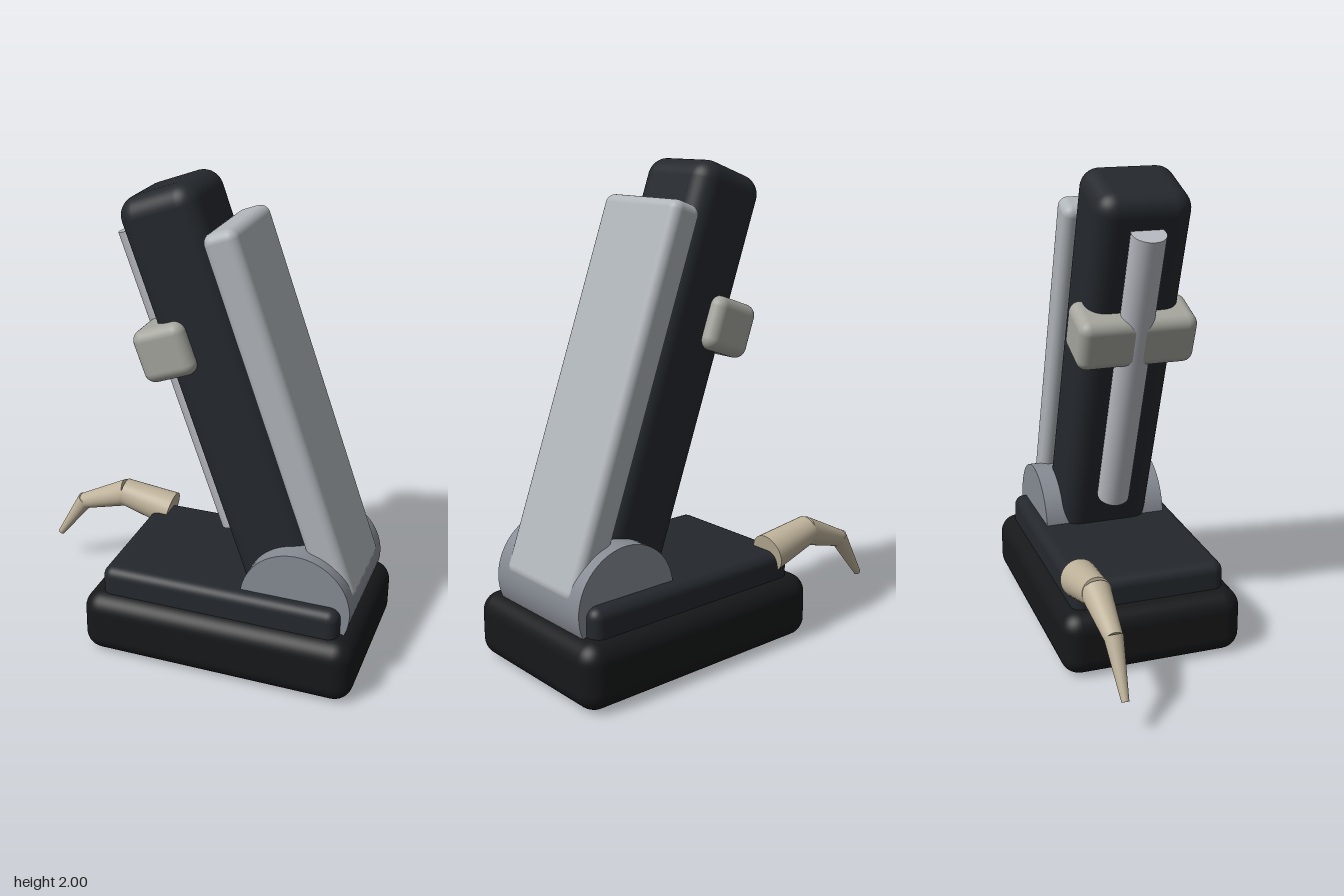
import * as THREE from 'three';
import { RoundedBoxGeometry } from 'three/addons/geometries/RoundedBoxGeometry.js';

const mat = (color) => new THREE.MeshStandardMaterial({ color });
const black = mat(0x17181a);
const charcoal = mat(0x24282d);
const steel = mat(0x868b93);
const silver = mat(0xb0b5ba);
const rodGrey = mat(0xb8bac2);
const clampGrey = mat(0xa5a59e);
const beige = mat(0xbdb199);

function add(parent, name, geometry, material) {
  const mesh = new THREE.Mesh(geometry, material);
  mesh.name = name;
  parent.add(mesh);
  return mesh;
}

// Rounded box given by its x and y ranges and its half depth
function block(parent, name, material, [x0, x1], [y0, y1], halfZ, radius) {
  const geometry = new RoundedBoxGeometry(x1 - x0, y1 - y0, halfZ * 2, 5, radius);
  geometry.translate((x0 + x1) / 2, (y0 + y1) / 2, 0);
  return add(parent, name, geometry, material);
}

// Tapered cylinder between two points in the xy plane
function taper(parent, name, material, [x0, y0], [x1, y1], r0, r1, z = 0) {
  const dir = new THREE.Vector3(x1 - x0, y1 - y0, 0);
  const mesh = add(parent, name, new THREE.CylinderGeometry(r1, r0, dir.length(), 32), material);
  mesh.position.set((x0 + x1) / 2, (y0 + y1) / 2, z);
  mesh.quaternion.setFromUnitVectors(new THREE.Vector3(0, 1, 0), dir.normalize());
  return mesh;
}

export function createModel() {
  const model = new THREE.Group();
  model.name = 'leaningArmOnBase';

  // Stepped base
  block(model, 'basePlinth', black, [-0.37, 0.805], [0, 0.275], 0.39, 0.08);
  block(model, 'baseDeck', charcoal, [-0.295, 0.73], [0.12, 0.39], 0.33, 0.045);

  // Hinge drum lying across the base
  const hinge = add(model, 'hinge', new THREE.CylinderGeometry(0.23, 0.23, 0.55, 64), steel);
  hinge.rotation.x = Math.PI / 2;
  hinge.position.set(0.535, 0.36, 0);

  // Leaning arm with its backing plate, rod and clamp
  const arm = new THREE.Group();
  arm.name = 'arm';
  arm.rotation.z = THREE.MathUtils.degToRad(20);
  model.add(arm);
  block(arm, 'armBody', charcoal, [0.398, 0.735], [0.15, 1.89], 0.195, 0.08);
  block(arm, 'backPlate', silver, [0.72, 0.862], [0.11, 1.685], 0.225, 0.04);
  taper(arm, 'rod', rodGrey, [0.375, 0.445], [0.375, 1.762], 0.07, 0.07);
  block(arm, 'clamp', clampGrey, [0.309, 0.534], [1.176, 1.396], 0.247, 0.045);

  // Curved claw of three tapering segments
  const claw = new THREE.Group();
  claw.name = 'claw';
  model.add(claw);
  const z = -0.28;
  taper(claw, 'clawBase', beige, [-0.213, 0.376], [-0.452, 0.427], 0.082, 0.062, z);
  taper(claw, 'clawMiddle', beige, [-0.435, 0.425], [-0.665, 0.337], 0.062, 0.037, z);
  taper(claw, 'clawTip', beige, [-0.655, 0.347], [-0.795, 0.142], 0.039, 0.015, z);

  return model;
}
